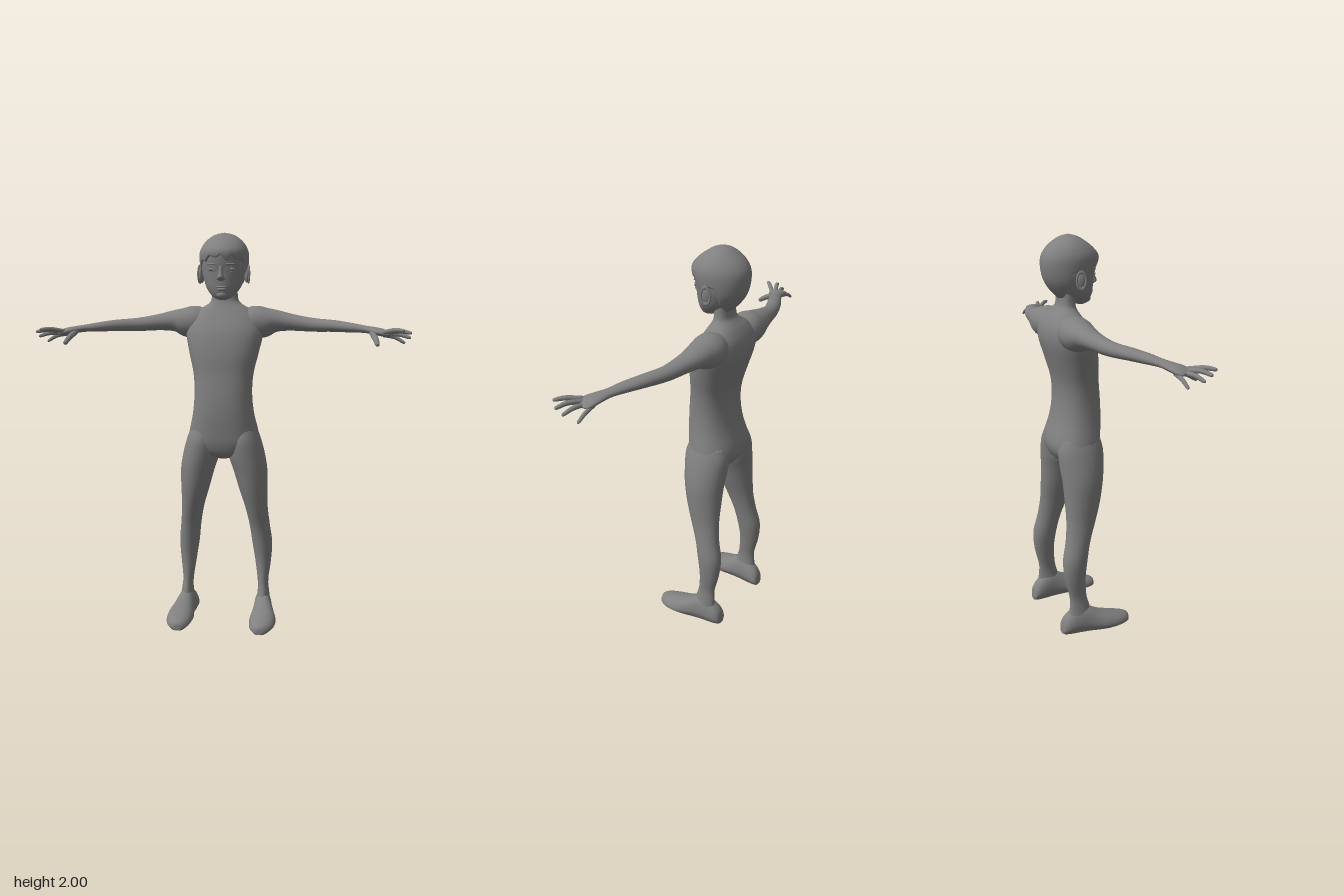
import * as THREE from 'three';

const V = (x, y, z) => new THREE.Vector3(x, y, z);
const skin = new THREE.MeshStandardMaterial({ color: 0x808080 });
skin.name = 'matte grey';

// Smoothly subdivide rows of numbers with Catmull-Rom
function resample(rows, k = 4) {
  const out = [];
  for (let i = 0; i < rows.length - 1; i++) {
    const [a, b, c, d] = [-1, 0, 1, 2].map(o => rows[Math.min(Math.max(i + o, 0), rows.length - 1)]);
    for (let j = 0; j < k; j++) {
      const t = j / k;
      out.push(b.map((_, n) => b[n] + 0.5 * t * (c[n] - a[n] + t * (2 * a[n] - 5 * b[n] + 4 * c[n] - d[n]
        + t * (3 * (b[n] - c[n]) + d[n] - a[n])))));
    }
  }
  out.push(rows[rows.length - 1]);
  return out;
}

// Closed skin over rings of points
function skinRings(rings) {
  const n = rings[0].length, pos = [], idx = [];
  const mid = r => r.reduce((s, p) => s.add(p), V(0, 0, 0)).divideScalar(n);
  rings.forEach(r => r.forEach(p => pos.push(p.x, p.y, p.z)));
  for (let i = 0; i < rings.length - 1; i++) for (let j = 0; j < n; j++) {
    const a = i * n + j, b = i * n + (j + 1) % n;
    idx.push(a, b, a + n, b, b + n, a + n);
  }
  const first = rings.length * n, top = (rings.length - 1) * n;
  [mid(rings[0]), mid(rings[rings.length - 1])].forEach(p => pos.push(p.x, p.y, p.z));
  for (let j = 0; j < n; j++) {
    const k = (j + 1) % n;
    idx.push(first, k, j, first + 1, top + j, top + k);
  }
  const g = new THREE.BufferGeometry();
  g.setAttribute('position', new THREE.Float32BufferAttribute(pos, 3));
  g.setIndex(idx);
  g.computeVertexNormals();
  return g;
}

// Superellipse ring around c, with u x v pointing along the loft
function ring(c, u, v, a, b, p = 2, n = 32) {
  const pw = w => Math.sign(w) * Math.abs(w) ** (2 / p);
  return Array.from({ length: n }, (_, j) => {
    const t = j / n * Math.PI * 2;
    return c.clone().addScaledVector(u, a * pw(Math.cos(t))).addScaledVector(v, b * pw(Math.sin(t)));
  });
}

// Upright loft; rows are [y, centre x, half width, front z, back z]
const upright = (rows, p) => skinRings(resample(rows).map(([y, x, w, f, b]) =>
  ring(V(x, y, (f + b) / 2), V(1, 0, 0), V(0, 0, -1), w, (f - b) / 2, p)));

// Limb along a path; rows are [x, y, z, half height, half width]
function limb(rows, n = 24) {
  const r = resample(rows), at = i => V(...r[Math.min(Math.max(i, 0), r.length - 1)].slice(0, 3));
  return skinRings(r.map((q, i) => {
    const d = at(i + 1).sub(at(i - 1)).normalize();
    const v = d.clone().cross(V(0, 1, 0)).normalize();
    return ring(at(i), v.clone().cross(d), v, q[3], q[4], 2, n);
  }));
}

function mirrored(g) {
  const m = g.clone().scale(-1, 1, 1), a = m.index.array;
  for (let i = 0; i < a.length; i += 3) [a[i], a[i + 1]] = [a[i + 1], a[i]];
  return m;
}

function ellipsoid(x, y, z, a, b, c) {
  return new THREE.SphereGeometry(1, 20, 14).scale(a, b, c).translate(x, y, z);
}

// Hair shell whose lower rim follows fringe, sideburn, ear and nape
function hairGeometry() {
  const prof = resample([
    [1.69, 0.065, 0.03, -0.105], [1.74, 0.095, 0.05, -0.155], [1.79, 0.114, 0.06, -0.187],
    [1.85, 0.123, 0.076, -0.201], [1.9, 0.123, 0.083, -0.198], [1.94, 0.106, 0.052, -0.173],
    [1.97, 0.079, 0.012, -0.138], [1.99, 0.046, -0.022, -0.105], [2, 0.004, -0.062, -0.07]], 6);
  const shape = y => {
    let i = 0;
    while (i < prof.length - 2 && prof[i + 1][0] < y) i++;
    const t = THREE.MathUtils.clamp((y - prof[i][0]) / (prof[i + 1][0] - prof[i][0]), 0, 1);
    return prof[i].map((v, k) => v + (prof[i + 1][k] - v) * t);
  };
  const rimRows = [[0, 1.885], [0.7, 1.88], [1.05, 1.86], [1.25, 1.8], [1.4, 1.81], [1.55, 1.84],
    [1.85, 1.83], [2.05, 1.75], [2.5, 1.71], [3.15, 1.7]];
  const rim = phi => {
    const a = Math.abs(phi);
    const i = Math.max(rimRows.findIndex(r => r[0] >= a), 1), [p, q] = [rimRows[i - 1], rimRows[i]];
    const y = p[1] + (q[1] - p[1]) * (a - p[0]) / (q[0] - p[0]);
    const saw = ((phi * 2.1 + 10) % 1);
    return y - (a < 1.1 ? 0.032 * (1 - Math.abs(2 * saw - 1)) * (0.7 + 0.3 * Math.sin(phi * 5)) : 0);
  };
  const n = 96, steps = 28, rings = [];
  for (let i = -1; i <= steps; i++) {
    const t = Math.sin(Math.max(i, 0) / steps * Math.PI / 2);
    rings.push(Array.from({ length: n }, (_, j) => {
      const th = j / n * Math.PI * 2;
      let phi = th + Math.PI / 2;
      if (phi > Math.PI) phi -= Math.PI * 2;
      const r = rim(phi), y = r + (2 - r) * t, [, w, f, b] = shape(y), k = i < 0 ? 0.86 : 1;
      return V(w * k * Math.cos(th), y, (f + b) / 2 - (f - b) / 2 * k * Math.sin(th));
    }));
  }
  return skinRings(rings);
}

export function createModel() {
  const model = new THREE.Group();
  model.name = 'standingFigure';
  const add = (name, g) => {
    const m = new THREE.Mesh(g, skin);
    m.name = name;
    model.add(m);
  };
  const pair = (name, g) => {
    add(name + 'Left', g);
    add(name + 'Right', mirrored(g));
  };

  // Torso and neck
  add('torso', upright([
    [0.865, 0, 0.03, 0.0, -0.09], [0.89, 0, 0.11, 0.045, -0.135], [0.94, 0, 0.182, 0.066, -0.172],
    [1.0, 0, 0.178, 0.075, -0.178], [1.1, 0, 0.156, 0.083, -0.15], [1.2, 0, 0.147, 0.08, -0.135],
    [1.3, 0, 0.153, 0.07, -0.14], [1.4, 0, 0.176, 0.064, -0.167], [1.5, 0, 0.196, 0.042, -0.194],
    [1.57, 0, 0.185, 0.008, -0.19], [1.62, 0, 0.135, -0.02, -0.165], [1.65, 0, 0.085, -0.034, -0.14],
    [1.68, 0, 0.067, -0.04, -0.122], [1.76, 0, 0.065, -0.04, -0.12]], 2.3));

  // Legs
  pair('leg', upright([
    [1.02, 0.1, 0.07, 0.05, -0.15], [0.96, 0.106, 0.086, 0.066, -0.168], [0.88, 0.119, 0.094, 0.062, -0.165],
    [0.8, 0.138, 0.087, 0.05, -0.158], [0.7, 0.153, 0.073, 0.03, -0.155], [0.6, 0.168, 0.058, 0, -0.155],
    [0.5, 0.183, 0.053, -0.036, -0.166], [0.4, 0.195, 0.052, -0.058, -0.187], [0.3, 0.2, 0.041, -0.07, -0.18],
    [0.2, 0.201, 0.028, -0.065, -0.157], [0.14, 0.204, 0.03, -0.05, -0.157], [0.07, 0.205, 0.04, -0.03, -0.165],
  ].reverse()));

  // Feet; rows are [z, centre x, half width, top]
  pair('foot', skinRings(resample([
    [-0.2, 0.193, 0.018, 0.035], [-0.192, 0.194, 0.036, 0.07], [-0.165, 0.197, 0.047, 0.105],
    [-0.11, 0.202, 0.05, 0.14], [-0.06, 0.207, 0.054, 0.132], [-0.01, 0.212, 0.064, 0.105],
    [0.04, 0.215, 0.073, 0.085], [0.1, 0.215, 0.069, 0.066], [0.145, 0.212, 0.054, 0.052],
    [0.168, 0.21, 0.034, 0.042], [0.176, 0.209, 0.014, 0.03]]).map(([z, x, w, top]) =>
    ring(V(x, top / 2, z), V(1, 0, 0), V(0, 1, 0), w, top / 2, 2.3).map(p => {
      // Flat sole, narrower instep
      const h = p.y / top;
      if (h < 0.12) p.y = 0;
      p.x = x + (p.x - x) * (1.08 - 0.35 * h);
      return p;
    }))));

  // Arms with palms
  pair('arm', limb([
    [0.07, 1.55, -0.1, 0.055, 0.06], [0.14, 1.557, -0.1, 0.08, 0.083], [0.2, 1.557, -0.1, 0.077, 0.081],
    [0.26, 1.563, -0.1, 0.056, 0.067], [0.34, 1.556, -0.09, 0.042, 0.051], [0.45, 1.544, -0.067, 0.034, 0.039],
    [0.55, 1.54, -0.028, 0.029, 0.037], [0.63, 1.533, 0.012, 0.024, 0.034], [0.7, 1.526, 0.042, 0.018, 0.029],
    [0.74, 1.52, 0.06, 0.018, 0.037], [0.78, 1.512, 0.08, 0.018, 0.048], [0.81, 1.504, 0.092, 0.014, 0.044],
    [0.825, 1.501, 0.098, 0.007, 0.03]]));

  // Fingers and thumb: base, knuckle, tip
  [['indexFinger', [0.785, 1.512, 0.118], [0.838, 1.524, 0.165], [0.882, 1.522, 0.2], 0.011],
    ['middleFinger', [0.8, 1.508, 0.105], [0.862, 1.519, 0.135], [0.918, 1.51, 0.157], 0.011],
    ['ringFinger', [0.8, 1.503, 0.085], [0.862, 1.503, 0.106], [0.916, 1.487, 0.122], 0.0105],
    ['littleFinger', [0.79, 1.498, 0.058], [0.845, 1.488, 0.056], [0.894, 1.46, 0.058], 0.0095],
    ['thumb', [0.735, 1.512, 0.08], [0.752, 1.482, 0.14], [0.762, 1.453, 0.184], 0.014],
  ].forEach(([name, a, b, c, r]) => {
    const near = c.map((v, i) => v + (b[i] - v) * 0.15);
    pair(name, limb([[...a, r, r], [...b, r, r], [...near, r * 0.75, r * 0.75], [...c, r * 0.25, r * 0.25]], 12));
  });

  // Head and hair
  add('head', upright([
    [1.668, 0, 0.018, 0.015, -0.02], [1.68, 0, 0.045, 0.036, -0.05], [1.7, 0, 0.065, 0.046, -0.085],
    [1.73, 0, 0.086, 0.053, -0.125], [1.77, 0, 0.101, 0.057, -0.16], [1.81, 0, 0.112, 0.06, -0.178],
    [1.85, 0, 0.115, 0.067, -0.185], [1.9, 0, 0.11, 0.066, -0.18], [1.95, 0, 0.08, 0.03, -0.14]]));
  add('hair', hairGeometry());

  // Face
  add('nose', upright([[1.758, 0, 0.008, 0.06, 0.04], [1.768, 0, 0.02, 0.077, 0.035], [1.778, 0, 0.017, 0.086, 0.035],
    [1.8, 0, 0.011, 0.076, 0.035], [1.835, 0, 0.011, 0.064, 0.035]]));
  add('upperLip', ellipsoid(0, 1.729, 0.05, 0.029, 0.006, 0.009));
  add('lowerLip', ellipsoid(0, 1.718, 0.049, 0.023, 0.007, 0.009));
  add('chin', ellipsoid(0, 1.692, 0.03, 0.028, 0.018, 0.02));
  pair('eye', ellipsoid(0.047, 1.815, 0.044, 0.019, 0.009, 0.01));
  pair('eyelid', new THREE.TorusGeometry(0.02, 0.0035, 8, 28).scale(1, 0.55, 1).rotateY(0.4).translate(0.047, 1.815, 0.05));
  pair('eyebrow', ellipsoid(0, 0, 0, 0.026, 0.005, 0.006).rotateY(0.4).translate(0.048, 1.84, 0.053));

  // Ears: bowl with a raised rim
  pair('ear', ellipsoid(0, 0, 0, 0.012, 0.042, 0.024).rotateY(0.3).translate(0.114, 1.795, -0.052));
  pair('earRim', new THREE.TorusGeometry(0.022, 0.005, 8, 28).scale(1, 1.8, 1)
    .rotateY(Math.PI / 2 + 0.3).translate(0.123, 1.797, -0.054));
  return model;
}
